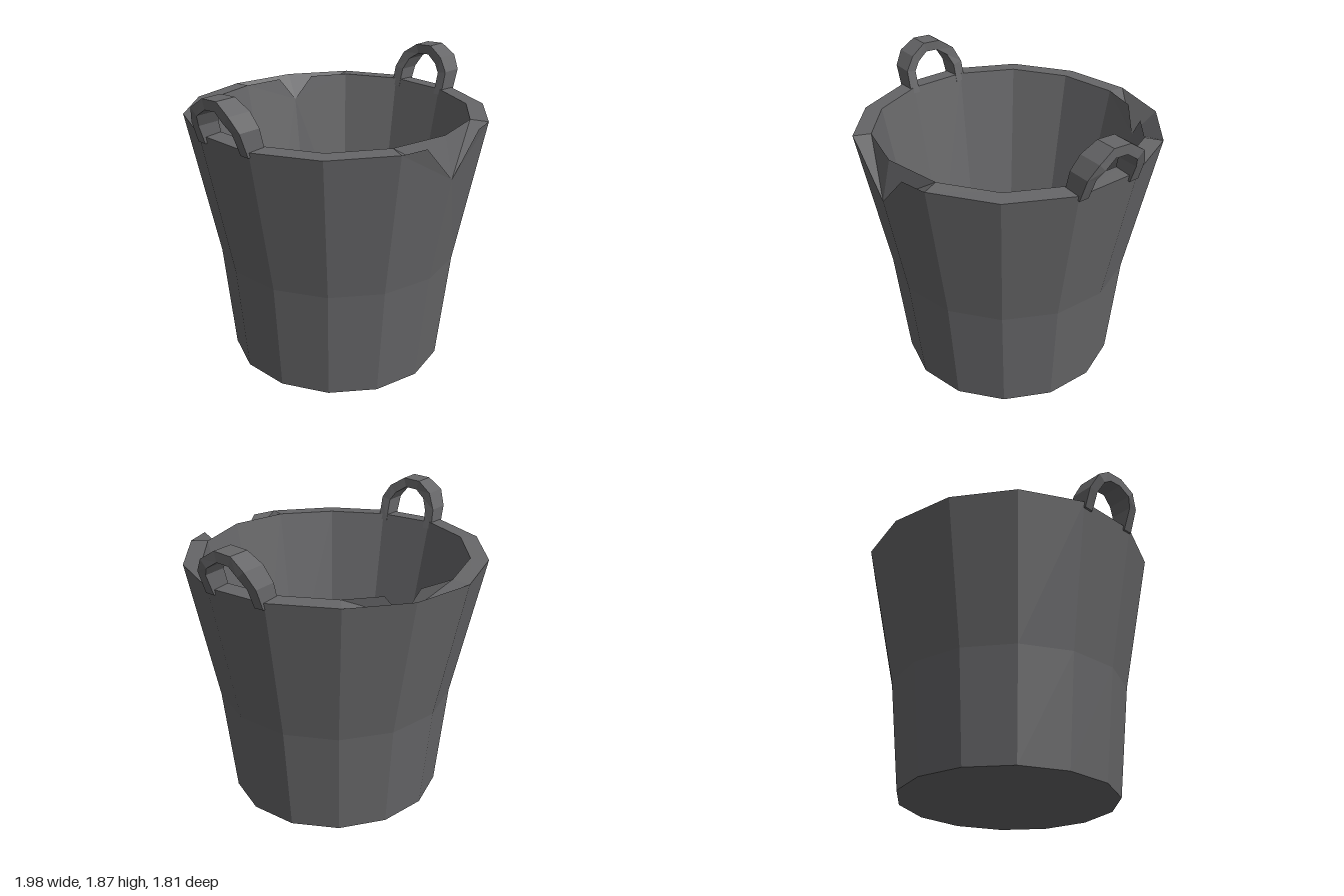
import * as THREE from 'three';

const SIDES = 14;

// Flat-shaded geometry from convex polygons, each fanned from its first corner
function fromPolygons(polys) {
  const pos = [];
  for (const p of polys) {
    for (let i = 1; i < p.length - 1; i++) pos.push(...p[0], ...p[i], ...p[i + 1]);
  }
  const geo = new THREE.BufferGeometry();
  geo.setAttribute('position', new THREE.Float32BufferAttribute(pos, 3));
  geo.computeVertexNormals();
  return geo;
}

function bucketGeometry() {
  // Radius, height, z centre: up the outside, over the rim, down the inside
  const rows = [
    [0.68, 0.015, 0.025], [0.75, 0.71, 0.03], [0.93, 1.615, 0.02],
    [0.82, 1.62, 0.02], [0.605, 0.5, 0.035], [0.585, 0.1, 0.04],
  ].map(([r, y, cz], row) => Array.from({ length: SIDES }, (_, k) => {
    const a = (k / SIDES) * Math.PI * 2;
    const z = cz + r * Math.cos(a);
    const wobble = row === 0 ? -0.02 * z : row === 2 || row === 3 ? 0.008 * Math.cos(3 * a) : 0;
    return [r * Math.sin(a), y + wobble, z];
  }));

  // Chips in the rim: one corner sinks, the edge bends at a point on each side
  const outerChip = rows[2][0] = [0, 1.38, 0.9];
  const innerChip = rows[3][6] = [0.34, 1.47, -0.69];
  const bends = {
    '2:0': [0.24, 1.62, 0.9], '2:13': [-0.24, 1.62, 0.9],
    '3:5': [0.45, 1.62, -0.64], '3:6': [0.24, 1.62, -0.74],
  };
  const bend = (row, k) => (bends[`${row}:${k}`] ? [bends[`${row}:${k}`]] : []);

  const polys = [];
  for (let row = 0; row < rows.length - 1; row++) {
    for (let k = 0; k < SIDES; k++) {
      const n = (k + 1) % SIDES;
      const p = [rows[row][k], ...bend(row, k), rows[row][n],
        rows[row + 1][n], ...bend(row + 1, k), rows[row + 1][k]];
      const s = Math.max(0, p.indexOf(outerChip), p.indexOf(innerChip));
      polys.push([...p.slice(s), ...p.slice(0, s)]);
    }
  }
  // Inner floor and underside
  polys.push(rows[5], [...rows[0]].reverse());
  return fromPolygons(polys);
}

// Strap of rectangular section along an arch of [x, y, z, half width]
function handleGeometry() {
  const path = [
    [0.85, 1.58, 0.2, 0.062], [0.895, 1.72, 0.2, 0.07], [0.915, 1.79, 0.155, 0.076],
    [0.92, 1.845, 0.07, 0.065], [0.92, 1.84, -0.03, 0.065], [0.915, 1.785, -0.11, 0.076],
    [0.885, 1.7, -0.15, 0.07], [0.85, 1.58, -0.155, 0.062],
  ];
  const t = 0.031;
  const rings = path.map(([x, y, z, w], i) => {
    const a = path[Math.max(i - 1, 0)], b = path[Math.min(i + 1, path.length - 1)];
    const dy = b[1] - a[1], dz = b[2] - a[2], len = Math.hypot(dy, dz);
    const ny = (-dz / len) * t, nz = (dy / len) * t;
    return [[x - w, y + ny, z + nz], [x + w, y + ny, z + nz],
      [x + w, y - ny, z - nz], [x - w, y - ny, z - nz]];
  });
  const polys = [[...rings[0]].reverse(), rings[rings.length - 1]];
  for (let i = 0; i < rings.length - 1; i++) {
    for (let j = 0; j < 4; j++) {
      const n = (j + 1) % 4;
      polys.push([rings[i][j], rings[i][n], rings[i + 1][n], rings[i + 1][j]]);
    }
  }
  return fromPolygons(polys);
}

export function createModel() {
  const group = new THREE.Group();
  const darkGrey = new THREE.MeshStandardMaterial({ color: 0x666668 });
  darkGrey.name = 'darkGrey';
  darkGrey.flatShading = true;
  darkGrey.side = THREE.DoubleSide;

  const add = (name, geo) => {
    const mesh = new THREE.Mesh(geo, darkGrey);
    mesh.name = name;
    group.add(mesh);
    return mesh;
  };
  add('bucket', bucketGeometry());

  // Two handles on opposite sides, mirrored
  const handle = handleGeometry();
  add('leftHandle', handle);
  add('rightHandle', handle).scale.x = -1;
  return group;
}
